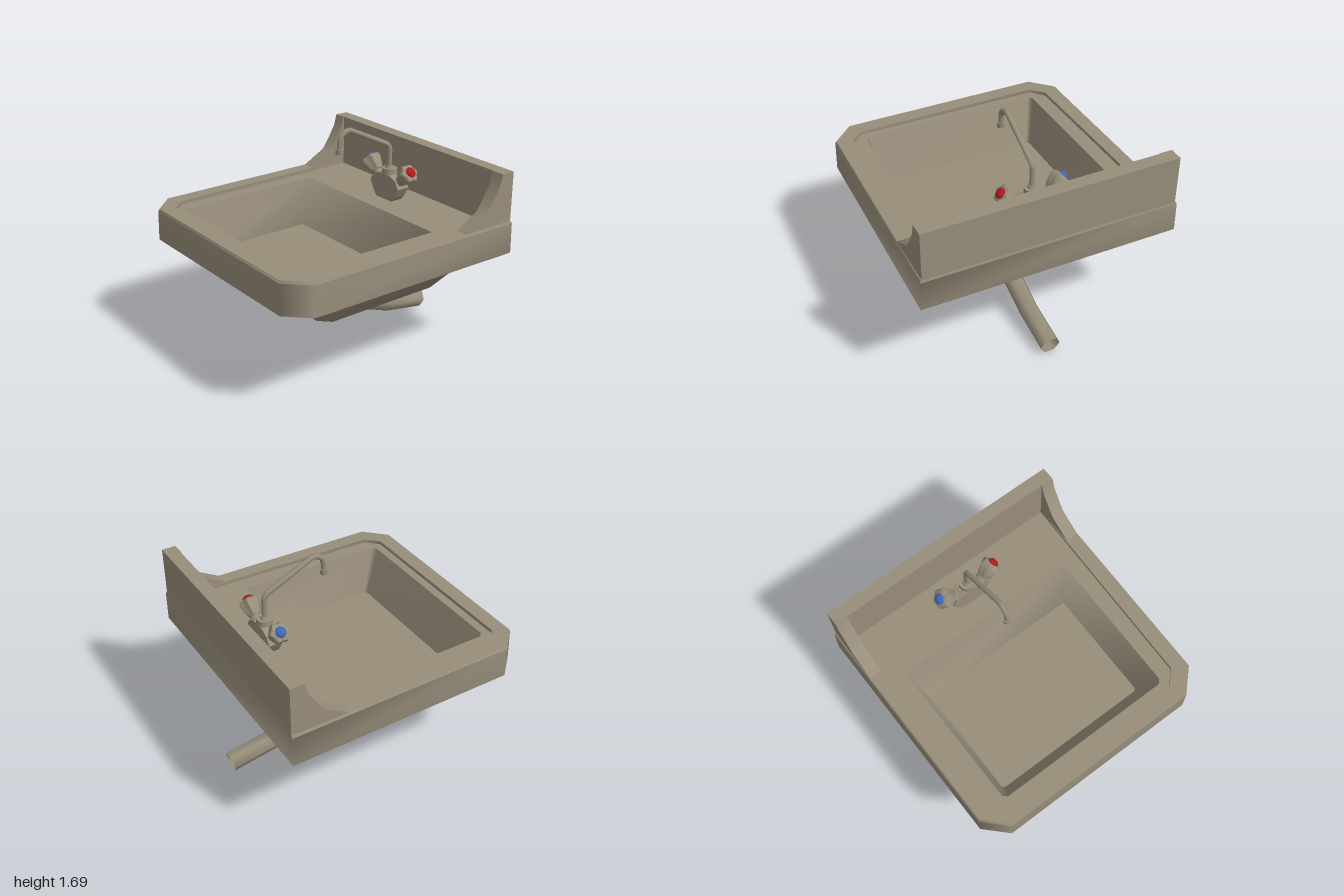
import * as THREE from 'three';
import { toCreasedNormals } from 'three/addons/utils/BufferGeometryUtils.js';

function colour(name, hex, side = THREE.FrontSide) {
  const material = new THREE.MeshStandardMaterial({ color: hex, side });
  material.name = name;
  return material;
}
const ceramic = colour('ceramic', 0x978d7a, THREE.DoubleSide);
const hotRed = colour('hot red', 0xb01c1f);
const coldBlue = colour('cold blue', 0x3f68b4);

function part(name, geometry, material = ceramic) {
  const mesh = new THREE.Mesh(geometry, material);
  mesh.name = name;
  return mesh;
}

function indexed(positions, index) {
  const g = new THREE.BufferGeometry();
  g.setAttribute('position', new THREE.Float32BufferAttribute(positions, 3));
  g.setIndex(index);
  g.computeVertexNormals();
  return g;
}

// Horizontal six-corner outline: square at the back, chamfered at the front
function outline(y, xBack, xFront, zBack, zFront, c) {
  return [
    [-xBack, y, zBack], [-xFront, y, zFront - c], [-xFront + c, y, zFront],
    [xFront - c, y, zFront], [xFront, y, zFront - c], [xBack, y, zBack],
  ];
}

// Skin a stack of outlines, optionally closing the first or last one
function loft(rings, { capFirst = false, capLast = false } = {}) {
  const n = rings[0].length, index = [];
  for (let r = 0; r < rings.length - 1; r++) {
    for (let i = 0; i < n; i++) {
      const j = (i + 1) % n, a = r * n, b = a + n;
      index.push(a + i, a + j, b + j, a + i, b + j, b + i);
    }
  }
  const last = (rings.length - 1) * n;
  for (let i = 1; i < n - 1; i++) {
    if (capFirst) index.push(0, i + 1, i);
    if (capLast) index.push(last, last + i, last + i + 1);
  }
  return indexed(rings.flat(2), index);
}

// Mitred tube along [z, y] points in the middle plane
function sweep(path, radius, sides) {
  const pts = path.map(([z, y]) => new THREE.Vector2(z, y));
  const pos = [], index = [];
  pts.forEach((p, k) => {
    const into = p.clone().sub(pts[Math.max(k - 1, 0)]).normalize();
    const out = pts[Math.min(k + 1, pts.length - 1)].clone().sub(p).normalize();
    const t = into.clone().add(out).normalize();
    const mitre = 1 / t.dot(k ? into : out);
    for (let s = 0; s < sides; s++) {
      const a = (s / sides) * Math.PI * 2, v = radius * Math.sin(a) * mitre;
      pos.push(radius * Math.cos(a), p.y + t.x * v, p.x - t.y * v);
    }
    if (k === 0) return;
    for (let s = 0; s < sides; s++) {
      const q = (s + 1) % sides, a = (k - 1) * sides, b = a + sides;
      index.push(a + s, a + q, b + q, a + s, b + q, b + s);
    }
  });
  return indexed(pos, index);
}

function extrudeShape(points, depth) {
  const shape = new THREE.Shape(points.map(([x, y]) => new THREE.Vector2(x, y)));
  return new THREE.ExtrudeGeometry(shape, { depth, bevelEnabled: false });
}

function cylinder(name, rTop, rBottom, yLow, yHigh, z) {
  const mesh = part(name, toCreasedNormals(
    new THREE.CylinderGeometry(rTop, rBottom, yHigh - yLow, 10), 0.8));
  mesh.position.set(0, (yLow + yHigh) / 2, z);
  return mesh;
}

// Lobed tap handle with a coloured button, axis along y
function tapHandle(name, buttonMaterial) {
  const group = new THREE.Group();
  group.name = name;
  const profile = [[0, -0.072], [0.045, -0.072], [0.062, -0.05], [0.085, 0.025], [0.074, 0.052], [0.042, 0.062], [0, 0.062]]
    .map(([r, y]) => new THREE.Vector2(r, y));
  const knob = new THREE.LatheGeometry(profile, 24);
  const p = knob.attributes.position;
  for (let i = 0; i < p.count; i++) {
    const r = Math.hypot(p.getX(i), p.getZ(i));
    if (r < 0.05) continue;
    const k = 0.9 + 0.1 * Math.cos(6 * Math.atan2(p.getX(i), p.getZ(i)));
    p.setX(i, p.getX(i) * k);
    p.setZ(i, p.getZ(i) * k);
  }
  group.add(part(name + 'Knob', toCreasedNormals(knob, 0.8)));
  const button = part(name + 'Button', new THREE.SphereGeometry(0.044, 12, 8), buttonMaterial);
  button.scale.y = 0.7;
  button.position.y = 0.056;
  group.add(button);
  const stem = part(name + 'Stem', new THREE.CylinderGeometry(0.04, 0.045, 0.08, 8));
  stem.position.y = -0.1;
  group.add(stem);
  return group;
}

export function createModel() {
  const model = new THREE.Group();
  model.name = 'washbasin';

  // Hollow apron with a narrow turned-in lower edge
  model.add(part('apron', loft([
    outline(0.826, 0.985, 0.96, -0.968, 0.975, 0.16),
    outline(0.826, 1.0, 0.975, -0.98, 0.988, 0.165),
    outline(1.06, 0.995, 0.97, -0.98, 0.985, 0.165),
  ])));

  // Rim and the sunken deck around the bowl
  model.add(part('rim', toCreasedNormals(loft([
    outline(1.06, 0.995, 0.97, -0.98, 0.985, 0.165),
    outline(1.078, 0.987, 0.962, -0.975, 0.977, 0.163),
    outline(1.078, 0.88, 0.845, -0.87, 0.86, 0.10),
    outline(1.05, 0.88, 0.845, -0.87, 0.86, 0.10),
    outline(1.05, 0.745, 0.73, -0.41, 0.795, 0.03),
  ]), 0.85)));

  // Bowl walls and floor
  const floorEdge = outline(0.70, 0.65, 0.645, -0.26, 0.66, 0.02);
  model.add(part('bowlWalls', loft([
    outline(1.05, 0.745, 0.73, -0.41, 0.795, 0.03), floorEdge,
  ])));
  model.add(part('bowlFloor', loft([floorEdge], { capLast: true })));

  // Underside slopes up inside the apron
  model.add(part('underside', loft([
    outline(0.613, 0.76, 0.76, -0.40, 0.59, 0.08),
    outline(1.03, 0.99, 0.965, -0.975, 0.98, 0.165),
  ], { capFirst: true })));

  // Splashback with swept side wings
  const panel = part('splashback', new THREE.BoxGeometry(1.77, 0.425, 0.105));
  panel.position.set(0, 1.2505, -0.9225);
  model.add(panel);
  const wing = toCreasedNormals(extrudeShape([
    [-0.975, 1.04], [-0.50, 1.04], [-0.53, 1.079], [-0.72, 1.183], [-0.775, 1.263],
    [-0.84, 1.37], [-0.865, 1.463], [-0.975, 1.463],
  ], 0.1), 0.7);
  wing.rotateY(-Math.PI / 2);
  for (const [name, x] of [['leftWing', 0.98], ['rightWing', -0.88]]) {
    const mesh = part(name, wing);
    mesh.position.x = x;
    model.add(mesh);
  }

  // Hexagonal drain pipe, open at the wall end
  model.add(part('drainPipe', sweep([
    [-0.092, 0.63], [-0.092, 0.50], [-0.18, 0.36], [-0.385, 0.22], [-0.63, 0.13], [-0.985, 0.069],
  ], 0.078, 6)));

  // Mixer tap
  const tap = new THREE.Group();
  tap.name = 'mixerTap';
  const body = part('tapBody', extrudeShape([
    [-0.08, 1.04], [0.08, 1.04], [0.115, 1.08], [0.165, 1.165], [0.13, 1.225], [0.06, 1.255],
    [-0.06, 1.255], [-0.13, 1.225], [-0.165, 1.165], [-0.115, 1.08],
  ], 0.11));
  body.position.z = -0.69;
  tap.add(body);
  tap.add(cylinder('spoutCollar', 0.06, 0.062, 1.25, 1.297, -0.635));
  tap.add(cylinder('spoutNut', 0.028, 0.035, 1.297, 1.315, -0.632));
  tap.add(part('spout', sweep([
    [-0.63, 1.29], [-0.63, 1.445], [-0.622, 1.475], [-0.595, 1.50], [-0.23, 1.674],
    [-0.19, 1.67], [-0.15, 1.64], [-0.138, 1.60], [-0.135, 1.53],
  ], 0.021, 8)));
  tap.add(cylinder('spoutTip', 0.03, 0.028, 1.504, 1.543, -0.135));
  for (const [name, side, material] of [['hotHandle', 1, hotRed], ['coldHandle', -1, coldBlue]]) {
    const handle = tapHandle(name, material);
    handle.position.set(side * 0.2, 1.282, -0.635);
    handle.rotation.z = -side * 0.84;
    tap.add(handle);
  }
  model.add(tap);

  return model;
}
